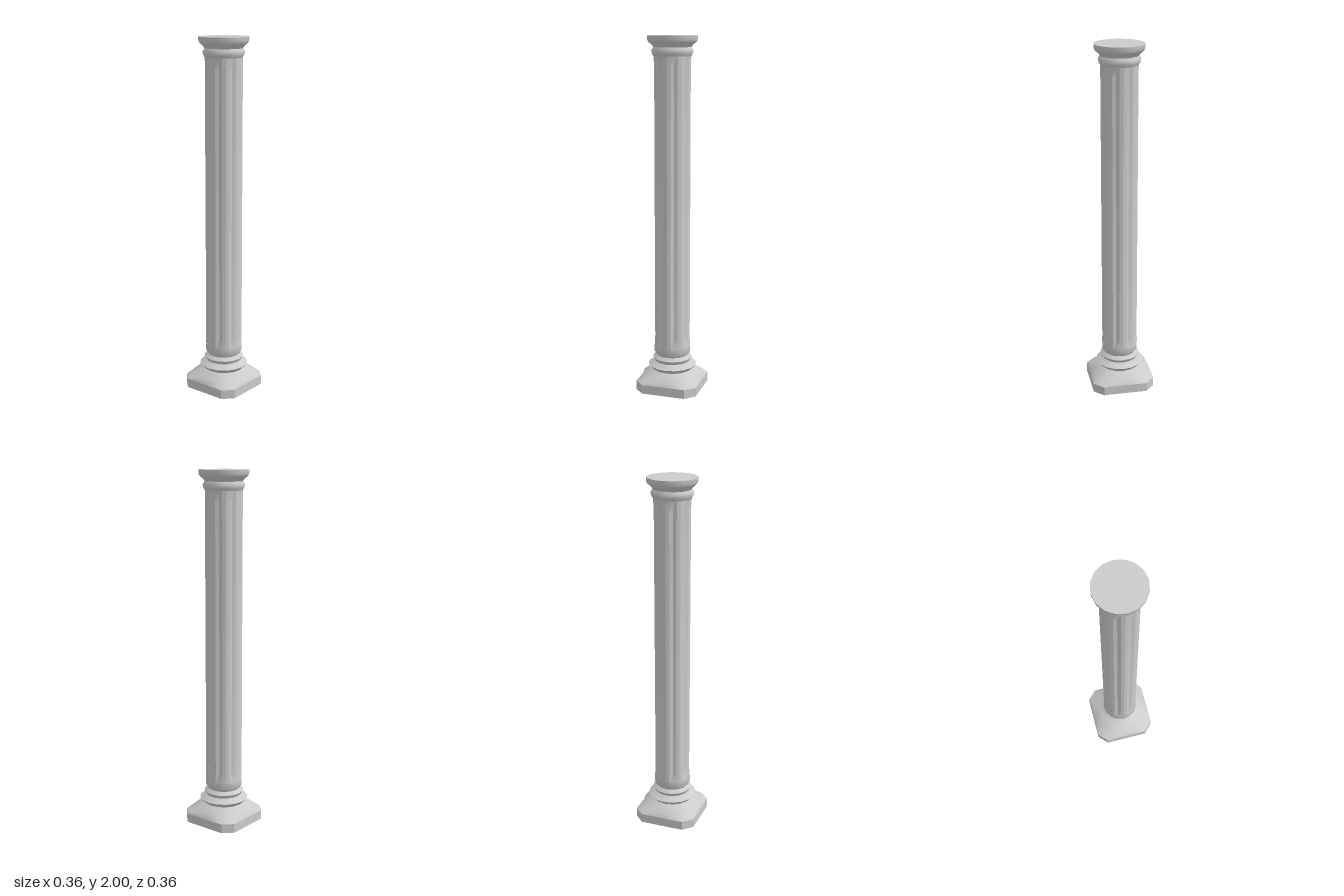
import * as THREE from 'three';
import { toCreasedNormals } from 'three/addons/utils/BufferGeometryUtils.js';

const material = new THREE.MeshStandardMaterial({ color: 0xcccccc, side: THREE.DoubleSide });

// Skin a stack of equal-sized closed rings of [x, y, z] points
function loft(name, rings, crease) {
  const n = rings[0].length;
  const index = [];
  for (let i = 0; i < rings.length - 1; i++) {
    for (let j = 0; j < n; j++) {
      const a = i * n + j, b = i * n + (j + 1) % n;
      index.push(a, b, b + n, a, b + n, a + n);
    }
  }
  const geometry = new THREE.BufferGeometry();
  geometry.setAttribute('position', new THREE.Float32BufferAttribute(rings.flat(2), 3));
  geometry.setIndex(index);
  const mesh = new THREE.Mesh(toCreasedNormals(geometry, crease), material);
  mesh.name = name;
  return mesh;
}

// Ring of n points; radius may vary with the point number
function ring(n, y, radius) {
  return Array.from({ length: n }, (_, j) => {
    const a = (j / n) * Math.PI * 2;
    const r = typeof radius === 'function' ? radius(j) : radius;
    return [r * Math.sin(a), y, r * Math.cos(a)];
  });
}

// Square with cut corners, 16 points to match the round rings
function plinthRing(y) {
  const s = 0.178, c = 0.125, m = (s + c) / 2;
  const quarter = [[0, s], [c, s], [m, m], [s, c]];
  const points = [];
  for (let k = 0; k < 4; k++) {
    for (const [x, z] of quarter) {
      const turned = [[x, z], [z, -x], [-x, -z], [-z, x]][k];
      points.push([turned[0], y, turned[1]]);
    }
  }
  return points;
}

export function createModel() {
  const group = new THREE.Group();
  group.name = 'column';

  // Plinth, open underneath
  group.add(loft('plinth', [plinthRing(0), plinthRing(0.052)], 0.6));

  // Base mouldings rising from the plinth to the shaft
  const base = [
    [0.08, 0.17], [0.112, 0.115], [0.137, 0.138], [0.16, 0.102],
    [0.18, 0.112], [0.197, 0.092], [0.215, 0.104], [0.25, 0.103],
  ];
  group.add(loft('base', [plinthRing(0.052), ...base.map(([y, r]) => ring(16, y, r))], 0.9));

  // Shaft with eight flutes that run out towards both ends
  const flutes = (depth) => (j) => 0.103 - (j % 4 === 2 ? depth : j % 4 === 0 ? 0 : depth * 0.25);
  const shaft = [[0.25, 0], [0.3, 0.012], [1.84, 0.012], [1.89, 0]];
  group.add(loft('flutedShaft', shaft.map(([y, d]) => ring(32, y, flutes(d))), 0.25));

  // Capital mouldings
  const capital = [
    [1.89, 0.103], [1.905, 0.112], [1.922, 0.115], [1.938, 0.104],
    [1.95, 0.112], [1.965, 0.13], [1.978, 0.137], [2, 0.138],
  ];
  group.add(loft('capital', capital.map(([y, r]) => ring(16, y, r)), 0.9));

  // Flat top
  const top = new THREE.Mesh(new THREE.CircleGeometry(0.138, 16).rotateX(-Math.PI / 2), material);
  top.position.y = 2;
  top.name = 'capitalTop';
  group.add(top);

  return group;
}
